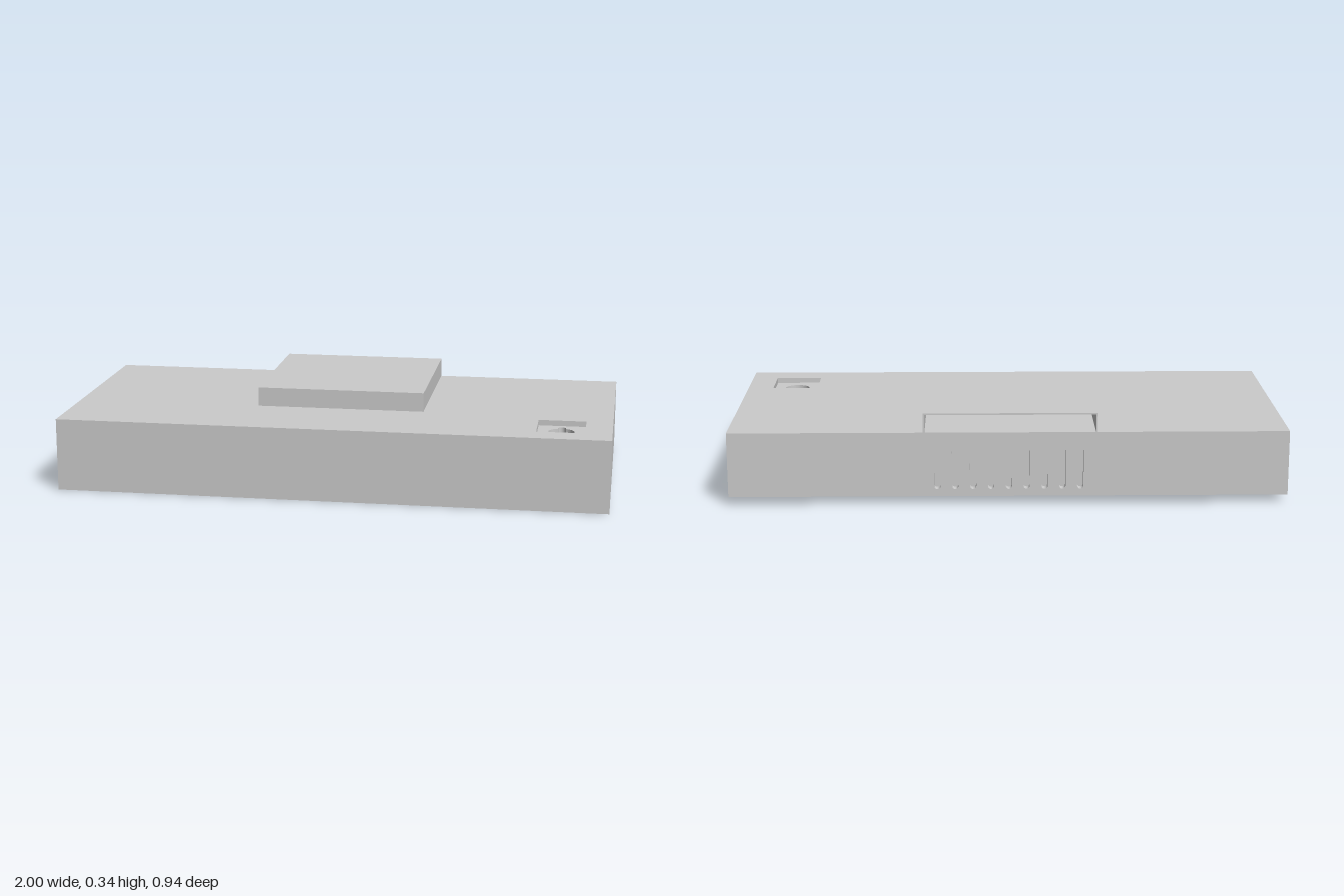
import * as THREE from 'three';

const mat = new THREE.MeshStandardMaterial({ color: 0xcccccc, side: THREE.DoubleSide });

const D = 0.468;                    // half depth
const TOP = 0.265, BASE = 0.03;     // body top and underside
const POCKET = 0.02, KEYHOLE = 0.02, SLOT = 0.03; // recess depths

function add(parent, geometry, name) {
  const mesh = new THREE.Mesh(geometry, mat);
  mesh.name = name;
  parent.add(mesh);
  return mesh;
}

// Flat strip of walls that sweeps an outline from z = 0 back to z = -depth
function walls(points, depth) {
  const pos = [];
  for (let i = 0; i < points.length - 1; i++) {
    const a = points[i], b = points[i + 1];
    pos.push(a.x, a.y, 0, a.x, a.y, -depth, b.x, b.y, -depth);
    pos.push(a.x, a.y, 0, b.x, b.y, -depth, b.x, b.y, 0);
  }
  const g = new THREE.BufferGeometry();
  g.setAttribute('position', new THREE.Float32BufferAttribute(pos, 3));
  g.computeVertexNormals();
  return g;
}

// Outline points with the first repeated at the end
function closedPoints(path, divisions = 16) {
  const pts = path.getPoints(divisions);
  if (pts[0].distanceTo(pts[pts.length - 1]) > 1e-6) pts.push(pts[0].clone());
  return pts;
}

function rect(x0, x1, y0, y1) {
  return new THREE.Shape([[x0, y0], [x1, y0], [x1, y1], [x0, y1]].map(p => new THREE.Vector2(...p)));
}

function capsule(x, y0, y1, r) {
  const s = new THREE.Shape();
  s.absarc(x, y1 - r, r, 0, Math.PI);
  s.absarc(x, y0 + r, r, Math.PI, 2 * Math.PI);
  s.closePath();
  return s;
}

export function createModel() {
  const model = new THREE.Group();
  model.name = 'extractorUnit';

  // Body: side profile with a thin front lip hanging below the underside
  const profile = [[D, BASE], [-0.46, BASE], [-0.46, 0], [-D, 0], [-D, TOP]]
    .map(p => new THREE.Vector2(...p));
  const body = new THREE.Group();
  body.name = 'body';
  body.rotation.y = Math.PI / 2;
  body.position.x = 1;
  model.add(body);
  add(body, walls(profile, 2), 'bodyShell');
  const endShape = new THREE.Shape([...profile, new THREE.Vector2(D, TOP)]);
  for (const [name, z] of [['leftEnd', 0], ['rightEnd', -2]]) {
    add(body, new THREE.ShapeGeometry(endShape), name).position.z = z;
  }

  // Top panel with a square pocket, and a notched round hole in its floor
  const top = new THREE.Group();
  top.name = 'top';
  top.rotation.x = -Math.PI / 2;
  top.position.y = TOP;
  model.add(top);
  const cx = 0.818, cy = -0.29, r = 0.047, half = 0.086;
  const pocket = rect(cx - half, cx + half, cy - half, cy + half);
  const notch = 0.014, a = Math.acos(notch / r);
  const keyhole = new THREE.Shape();
  keyhole.absarc(cx, cy, r, Math.PI - a, 2 * Math.PI + a);
  keyhole.absarc(cx, cy + 0.052, notch, 0, Math.PI);
  keyhole.closePath();

  const topShape = rect(-1, 1, -D, D);
  topShape.holes.push(pocket);
  add(top, new THREE.ShapeGeometry(topShape), 'topPanel');
  add(top, walls(closedPoints(pocket), POCKET), 'pocketWalls');
  const pocketFloor = pocket.clone();
  pocketFloor.holes.push(keyhole);
  add(top, new THREE.ShapeGeometry(pocketFloor, 24), 'pocketFloor').position.z = -POCKET;
  add(top, walls(closedPoints(keyhole, 24), KEYHOLE), 'socketWalls').position.z = -POCKET;
  add(top, new THREE.ShapeGeometry(keyhole, 24), 'socketFloor').position.z = -POCKET - KEYHOLE;

  // Back panel with a row of nine rounded vent slots
  const back = new THREE.Group();
  back.name = 'back';
  back.rotation.y = Math.PI;
  back.position.z = -D;
  model.add(back);
  const backShape = rect(-1, 1, BASE, TOP);
  for (let i = 0; i < 9; i++) {
    const slot = capsule((i - 4) * 0.0636, 0.056, 0.206, 0.0115);
    backShape.holes.push(slot);
    add(back, walls(closedPoints(slot, 8), SLOT), 'ventSlotWalls');
    add(back, new THREE.ShapeGeometry(slot, 8), 'ventSlotFloor').position.z = -SLOT;
  }
  add(back, new THREE.ShapeGeometry(backShape, 8), 'backPanel');

  // Thin raised cowl on top, open at the back
  const x0 = -0.315, x1 = 0.305, h = 0.07, front = 0.147, t = 0.006;
  const cowl = new THREE.Group();
  cowl.name = 'cowl';
  cowl.position.set(0, TOP, -D);
  model.add(cowl);
  const arch = new THREE.Shape([
    [x0, 0], [x0 + t, 0], [x0 + t, h - t], [x1 - t, h - t],
    [x1 - t, 0], [x1, 0], [x1, h], [x0, h],
  ].map(p => new THREE.Vector2(...p)));
  const length = front + D;
  add(cowl, new THREE.ExtrudeGeometry(arch, { depth: length, bevelEnabled: false }), 'cowlShell');
  const plate = new THREE.BoxGeometry(x1 - x0 - 2 * t, h - t, t);
  add(cowl, plate, 'cowlFront').position.set((x0 + x1) / 2, (h - t) / 2, length - t / 2);

  return model;
}
